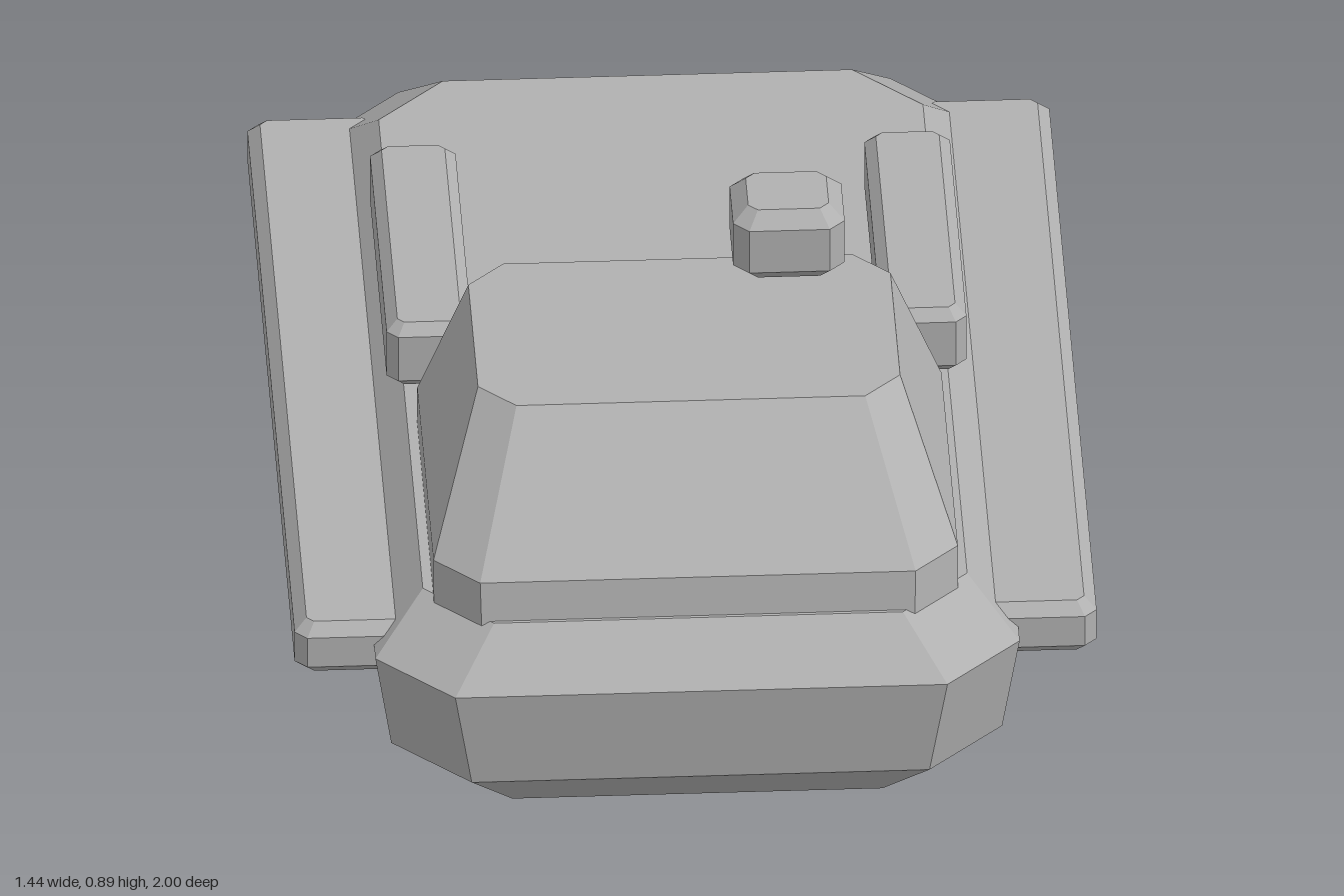
import * as THREE from 'three';

// Octagonal section: a rectangle with its corners cut off by c
function octagon(y, x0, x1, z0, z1, c) {
  return [
    [x0 + c, z1], [x1 - c, z1], [x1, z1 - c], [x1, z0 + c],
    [x1 - c, z0], [x0 + c, z0], [x0, z0 + c], [x0, z1 - c],
  ].map(([x, z]) => [x, y, z]);
}

// Faceted solid through a stack of sections, bottom to top, closed at both ends
function loft(sections) {
  const pos = [];
  const tri = (a, b, c) => pos.push(...a, ...b, ...c);
  for (let s = 0; s < sections.length - 1; s++) {
    const lo = sections[s], hi = sections[s + 1];
    for (let i = 0; i < lo.length; i++) {
      const j = (i + 1) % lo.length;
      tri(lo[i], lo[j], hi[j]);
      tri(lo[i], hi[j], hi[i]);
    }
  }
  const bottom = sections[0], top = sections[sections.length - 1];
  for (let i = 1; i < top.length - 1; i++) {
    tri(top[0], top[i], top[i + 1]);
    tri(bottom[0], bottom[i + 1], bottom[i]);
  }
  const geo = new THREE.BufferGeometry();
  geo.setAttribute('position', new THREE.Float32BufferAttribute(pos, 3));
  geo.computeVertexNormals();
  return geo;
}

// Box with every edge bevelled by b
function bevelBox(x0, x1, y0, y1, z0, z1, b) {
  const inner = (y) => octagon(y, x0 + b, x1 - b, z0 + b, z1 - b, b * 0.6);
  const outer = (y) => octagon(y, x0, x1, z0, z1, b);
  return loft([inner(y0), outer(y0 + b), outer(y1 - b), inner(y1)]);
}

export function createModel() {
  const group = new THREE.Group();
  const grey = new THREE.MeshStandardMaterial({ color: 0xb0b0b0, flatShading: true });
  grey.name = 'armourGrey';

  const add = (name, geo) => {
    const mesh = new THREE.Mesh(geo, grey);
    mesh.name = name;
    group.add(mesh);
  };

  // Hull, widest at the shoulder line
  add('hull', loft([
    octagon(0, -0.455, 0.455, -0.86, 0.86, 0.122),
    octagon(0.11, -0.55, 0.55, -0.972, 0.972, 0.138),
    octagon(0.31, -0.58, 0.58, -1, 1, 0.137),
    octagon(0.4, -0.49, 0.49, -0.895, 0.895, 0.122),
  ]));

  // Turret with a long sloping front
  add('turret', loft([
    octagon(0.39, -0.472, 0.472, 0.143, 0.89, 0.082),
    octagon(0.475, -0.472, 0.472, 0.147, 0.877, 0.08),
    octagon(0.693, -0.38, 0.38, 0.162, 0.63, 0.066),
  ]));

  // Sight hovering above the turret roof
  add('sight', bevelBox(0.092, 0.293, 0.75, 0.895, 0.168, 0.346, 0.028));

  // Paired side skirts and deck boxes
  for (const [side, s] of [['left', 1], ['right', -1]]) {
    const pair = (name, a, b, ...rest) =>
      add(side + name, bevelBox(Math.min(s * a, s * b), Math.max(s * a, s * b), ...rest));
    pair('Skirt', 0.48, 0.722, 0.244, 0.35, -0.88, 0.817, 0.022);
    pair('DeckBox', 0.368, 0.522, 0.418, 0.551, -0.473, 0.147, 0.02);
  }

  return group;
}
